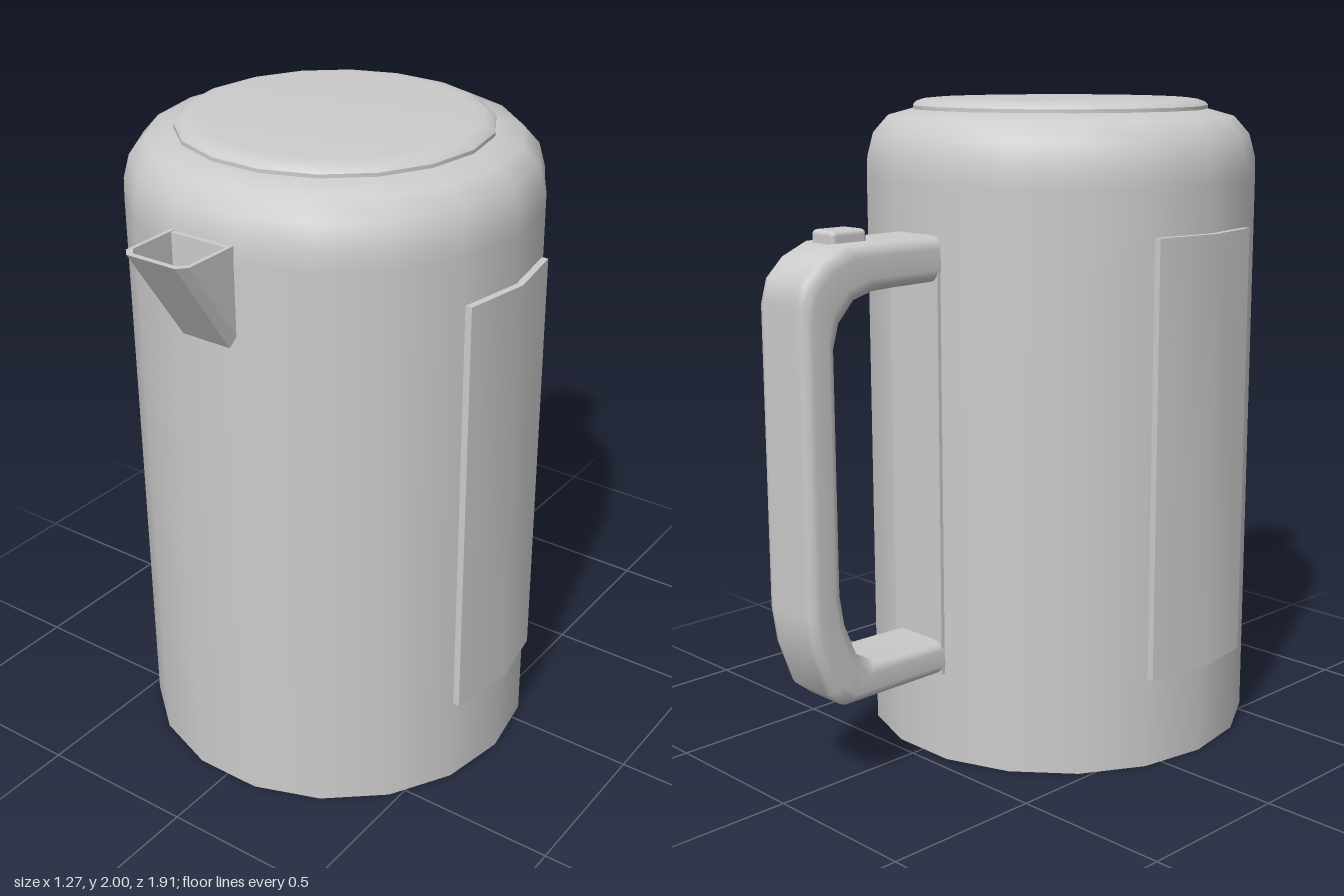
import * as THREE from 'three';
import { toCreasedNormals } from 'three/addons/utils/BufferGeometryUtils.js';
import { RoundedBoxGeometry } from 'three/addons/geometries/RoundedBoxGeometry.js';

const SIDES = 18;
const AXIS_Z = 0.15; // the body sits forward of the centre to balance the handle

const grey = new THREE.MeshStandardMaterial({ color: 0xcccccc });
const greyFlat = new THREE.MeshStandardMaterial({ color: 0xcccccc, flatShading: true, side: THREE.DoubleSide });

function part(name, geometry, x = 0, y = 0, z = 0, material = grey) {
  const mesh = new THREE.Mesh(geometry, material);
  mesh.name = name;
  mesh.position.set(x, y, z);
  return mesh;
}

function turned(profile) {
  const points = profile.map(([r, y]) => new THREE.Vector2(r, y));
  return new THREE.LatheGeometry(points, SIDES, Math.PI / 2);
}

// Skin over rows of points; each row is one cross-section.
function loft(rows, closed) {
  const n = rows[0].length;
  const index = [];
  for (let i = 0; i < rows.length - 1; i++) {
    for (let j = 0; j < (closed ? n : n - 1); j++) {
      const k = (j + 1) % n;
      const a = i * n + j, b = a + n, c = i * n + k, d = c + n;
      index.push(a, b, c, c, b, d);
    }
  }
  const geometry = new THREE.BufferGeometry();
  geometry.setAttribute('position', new THREE.Float32BufferAttribute(rows.flat(2), 3));
  geometry.setIndex(index);
  geometry.computeVertexNormals();
  return geometry;
}

// Handle: a rounded rectangle spanned between the inner and outer outlines.
function handleGeometry() {
  // outer z, outer y, inner z, inner y
  const stations = [
    [-0.44, 1.62, -0.44, 1.485],
    [-0.6, 1.62, -0.6, 1.483],
    [-0.8, 1.62, -0.69, 1.48],
    [-0.88, 1.585, -0.765, 1.46],
    [-0.937, 1.53, -0.82, 1.4],
    [-0.957, 1.46, -0.84, 1.33],
    [-0.957, 0.57, -0.84, 0.62],
    [-0.94, 0.46, -0.825, 0.53],
    [-0.89, 0.325, -0.78, 0.42],
    [-0.835, 0.28, -0.72, 0.39],
    [-0.44, 0.28, -0.44, 0.385],
  ];
  const halfWidth = 0.107, r = 0.035, rt = 0.28;
  const section = [];
  const corners = [[1, 0], [1, 1], [-1, 1], [-1, 0]];
  corners.forEach(([sx, t], q) => {
    for (let s = 0; s <= 3; s++) {
      const a = -Math.PI / 2 + (q + s / 3) * Math.PI / 2;
      section.push([
        sx * (halfWidth - r) + r * Math.cos(a),
        (t ? 1 - rt : rt) + rt * Math.sin(a),
      ]);
    }
  });
  const rows = stations.map(([oz, oy, iz, iy]) => section.map(([x, t]) => [
    x, THREE.MathUtils.lerp(iy, oy, t), THREE.MathUtils.lerp(iz, oz, t),
  ]));
  return loft(rows, true);
}

// Spout: a U-shaped rim swept down and back to the body wall.
function spoutGeometry() {
  const top = 1.815, back = 0.74, slope = 1.5;
  const outer = [[0.107, back], [0.107, 0.93], [0.082, 0.957]];
  const inner = [[0.095, back], [0.095, 0.917], [0.075, 0.94]];
  const mirrored = (half) => [...half, ...half.map(([x, z]) => [-x, z]).reverse()];
  const rim = (half) => mirrored(half).map(([x, z]) => [x, top, z]);
  const foot = (half) => mirrored(half).map(([x, z]) => [x, top - (z - back) * slope, back]);
  return loft([foot(outer), rim(outer), rim(inner), foot(inner)], false);
}

// Side panel: a shallow bent strip following two facets of the body.
function panelGeometry() {
  const shape = new THREE.Shape([
    [0.57, -0.207], [0.599, -0.207], [0.636, 0], [0.599, 0.207], [0.57, 0.207], [0.605, 0],
  ].map(([x, y]) => new THREE.Vector2(x, y)));
  const geometry = new THREE.ExtrudeGeometry(shape, { depth: 1.34, bevelEnabled: false });
  geometry.rotateX(-Math.PI / 2);
  return toCreasedNormals(geometry, 0.6);
}

export function createModel() {
  const model = new THREE.Group();
  model.name = 'kettle';

  // Body with a rounded shoulder
  model.add(part('body', turned([
    [0.615, 0], [0.615, 1.76], [0.613, 1.82], [0.594, 1.89],
    [0.545, 1.945], [0.465, 1.967], [0.4, 1.97],
  ]), 0, 0, AXIS_Z));
  const base = new THREE.CircleGeometry(0.615, SIDES);
  base.rotateX(Math.PI / 2);
  model.add(part('base', base, 0, 0, AXIS_Z));

  // Lid
  model.add(part('lid', toCreasedNormals(turned([
    [0.464, 1.95], [0.464, 1.978], [0.455, 1.988], [0.43, 1.997], [0.4, 2], [0, 2],
  ]), 0.6), 0, 0, AXIS_Z));

  // Panels on both flanks
  for (const [name, turn] of [['leftPanel', 0], ['rightPanel', Math.PI]]) {
    const panel = part(name, panelGeometry(), 0, 0.28, AXIS_Z);
    panel.rotation.y = turn;
    model.add(panel);
  }

  // Handle, its mounting strip and the lid button
  model.add(part('handle', handleGeometry()));
  model.add(part('handleStrip', new THREE.BoxGeometry(0.21, 1.3, 0.03), 0, 0.93, -0.453));
  model.add(part('button', new RoundedBoxGeometry(0.1, 0.06, 0.125, 2, 0.015), 0, 1.625, -0.743));

  // Spout
  model.add(part('spout', spoutGeometry(), 0, 0, 0, greyFlat));
  model.add(part('spoutBack', new THREE.BoxGeometry(0.19, 0.255, 0.03), 0, 1.685, 0.753));

  return model;
}
